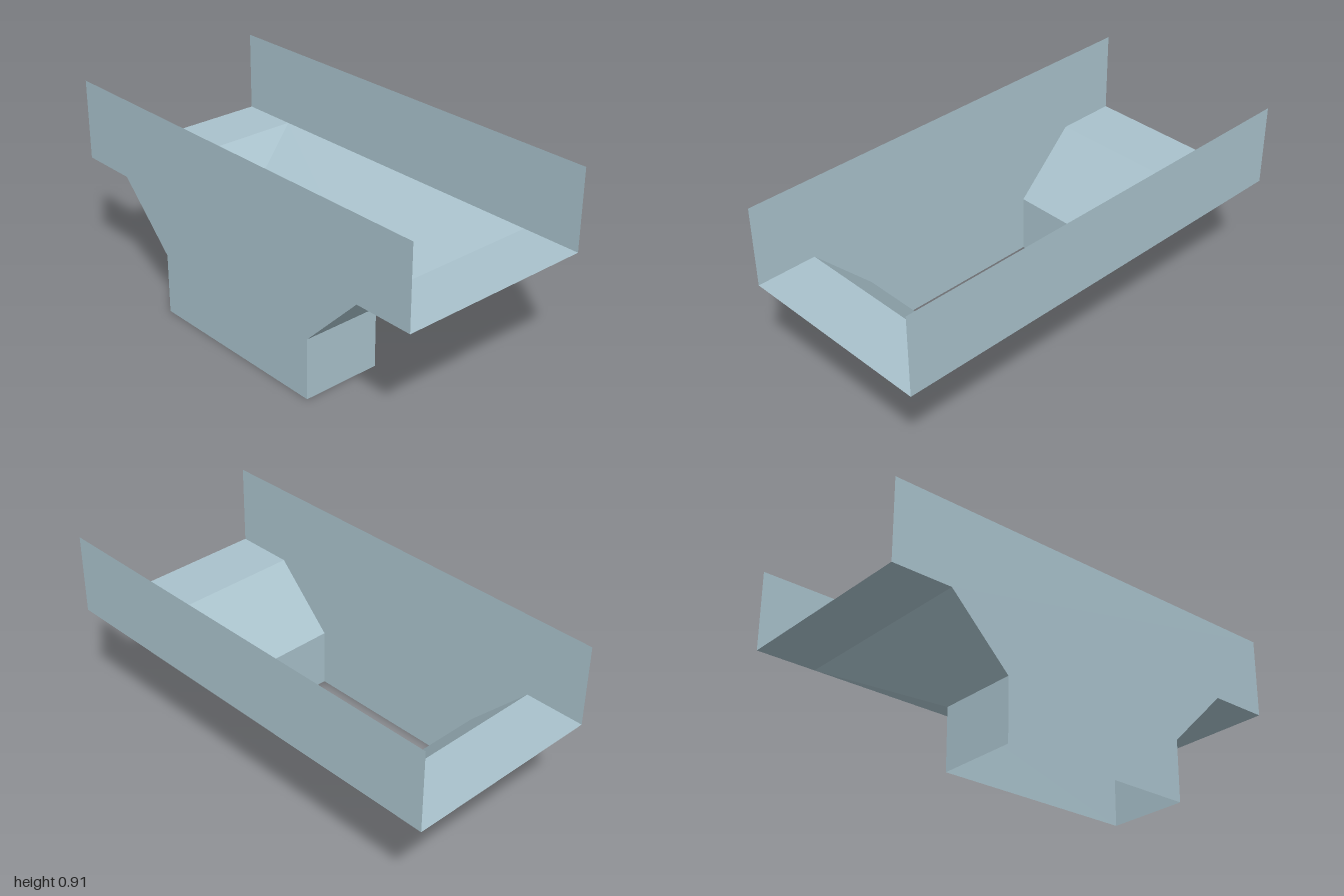
import * as THREE from 'three';

const W = 1, D = 0.455, TOP = 0.91;          // trough half length, half depth, rim height
const FLOOR = 0.547, NECK = 0.273;           // trough floor, top of the spout
const MOUTH = 0.727, SPOUT = 0.453, BACK = 0.091; // hopper mouth and spout half widths, spout back

export function createModel() {
  const model = new THREE.Group();
  const sheet = new THREE.MeshStandardMaterial({ color: 0xa9c2cc, side: THREE.DoubleSide });
  sheet.name = 'paleBlueSheet';

  const add = (name, geometry) => {
    const mesh = new THREE.Mesh(geometry, sheet);
    mesh.name = name;
    model.add(mesh);
    return mesh;
  };

  // Flat four-cornered panel, corners anticlockwise seen from outside
  const panel = (name, ...corners) => {
    const g = new THREE.BufferGeometry();
    g.setAttribute('position', new THREE.Float32BufferAttribute(corners.flat(), 3));
    g.setIndex([0, 1, 2, 0, 2, 3]);
    g.computeVertexNormals();
    return add(name, g);
  };

  // One front sheet closes the trough, hopper and spout
  const half = [[SPOUT, 0], [SPOUT, NECK], [MOUTH, FLOOR], [W, FLOOR], [W, TOP]];
  const outline = [...half, ...half.map(([x, y]) => [-x, y]).reverse()];
  const front = new THREE.Shape(outline.map(([x, y]) => new THREE.Vector2(x, y)));
  add('frontSheet', new THREE.ShapeGeometry(front)).position.z = D;

  // Back of the trough, hopper and spout
  panel('troughBack', [W, FLOOR, -D], [-W, FLOOR, -D], [-W, TOP, -D], [W, TOP, -D]);
  panel('hopperBack', [SPOUT, NECK, BACK], [-SPOUT, NECK, BACK], [-MOUTH, FLOOR, -D], [MOUTH, FLOOR, -D]);
  panel('spoutBack', [SPOUT, 0, BACK], [-SPOUT, 0, BACK], [-SPOUT, NECK, BACK], [SPOUT, NECK, BACK]);

  // Mirrored floors and sides; the trough ends stay open
  for (const [side, s] of [['left', 1], ['right', -1]]) {
    const sidePanel = (name, ...corners) => {
      const mirrored = corners.map(([x, y, z]) => [s * x, y, z]);
      panel(side + name, ...(s > 0 ? mirrored : mirrored.reverse()));
    };
    sidePanel('TroughFloor', [MOUTH, FLOOR, D], [W, FLOOR, D], [W, FLOOR, -D], [MOUTH, FLOOR, -D]);
    sidePanel('HopperSide', [SPOUT, NECK, D], [SPOUT, NECK, BACK], [MOUTH, FLOOR, -D], [MOUTH, FLOOR, D]);
    sidePanel('SpoutSide', [SPOUT, 0, D], [SPOUT, 0, BACK], [SPOUT, NECK, BACK], [SPOUT, NECK, D]);
  }
  return model;
}
